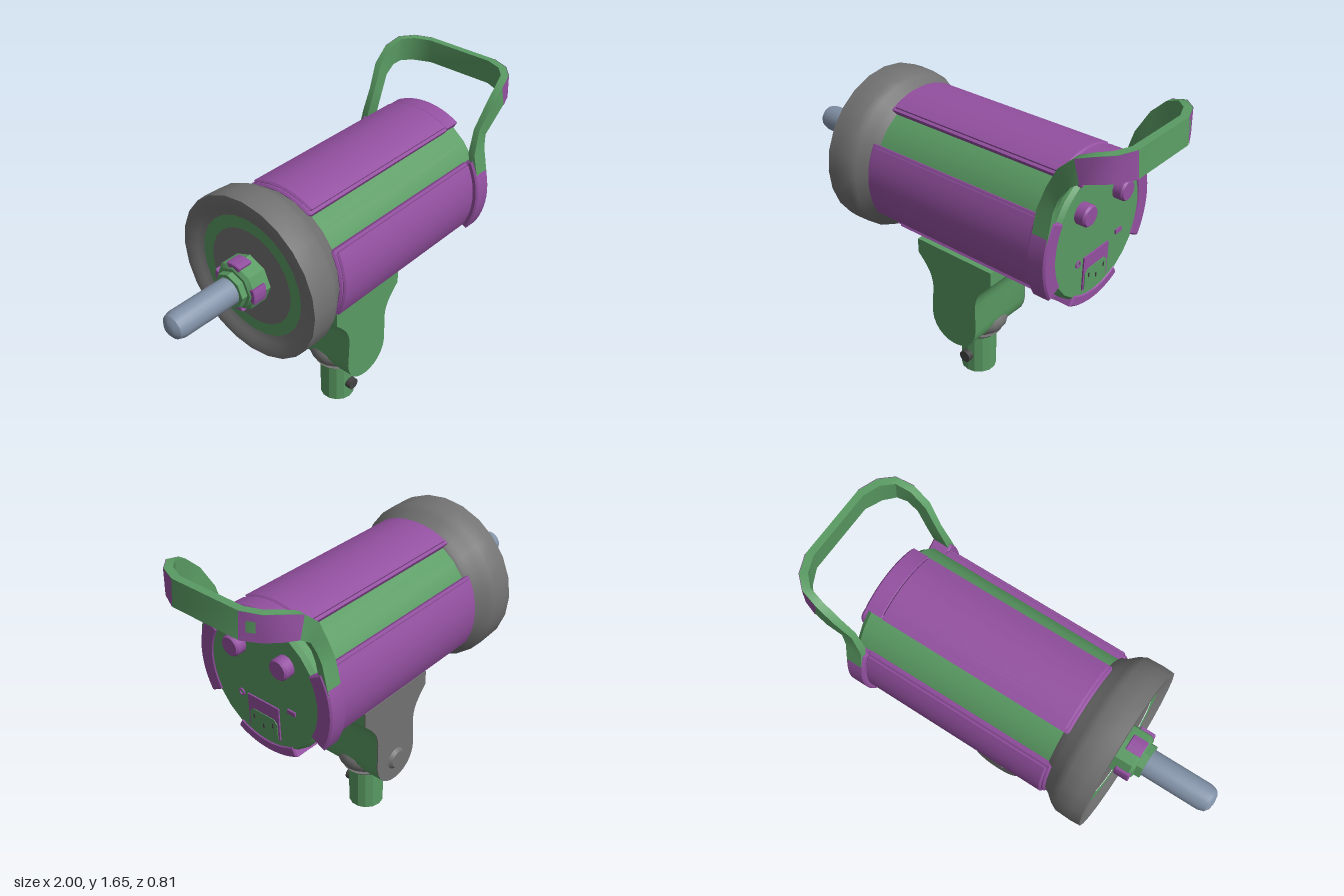
import * as THREE from 'three';
import { toCreasedNormals } from 'three/addons/utils/BufferGeometryUtils.js';

const mat = (color) => new THREE.MeshStandardMaterial({ color });
const AXIS = 1.1; // height of the lamp's long axis

export function createModel() {
  const model = new THREE.Group();
  const green = mat(0x5a9b63), purple = mat(0x9350a0), grey = mat(0x727272);
  const steel = mat(0x8292a8), dark = mat(0x444444);

  const add = (name, geo, material, x = 0, y = 0, z = 0, parent = model) => {
    const m = new THREE.Mesh(geo, material);
    m.name = name;
    m.position.set(x, y, z);
    parent.add(m);
    return m;
  };
  // Profile of [radius, x] turned around the lamp axis
  const turned = (pts, sides) => toCreasedNormals(
    new THREE.LatheGeometry(pts.map(([r, x]) => new THREE.Vector2(r, x)), sides).rotateZ(-Math.PI / 2), 0.6);
  // Curved plate: ring sector centred on angle a, running from x0 to x1
  const curvedPlate = (r0, r1, a, half, x0, x1, bevel = 0.008) => {
    const s = new THREE.Shape();
    s.absarc(0, 0, r1 - bevel, a - half, a + half, false);
    s.absarc(0, 0, r0, a + half, a - half, true);
    const g = new THREE.ExtrudeGeometry(s, {
      depth: x1 - x0 - 2 * bevel, curveSegments: 8, bevelSize: bevel, bevelThickness: bevel, bevelSegments: 1 });
    return toCreasedNormals(g.translate(0, 0, x0 + bevel).rotateY(Math.PI / 2), 0.6);
  };
  // Flat outline extruded along x, outline given as [z, y]
  const panel = (pts, depth) => new THREE.ExtrudeGeometry(
    new THREE.Shape(pts.map(([z, y]) => new THREE.Vector2(-z, y))), { depth, bevelEnabled: false }).rotateY(Math.PI / 2);

  // Housing with its rear end cap
  add('housing', turned([[0, -0.45], [0.33, -0.45], [0.335, 0.7], [0.32, 0.72], [0, 0.72]], 24), green, 0, AXIS);

  // Front bell with a shallow recessed face
  add('frontBell', turned([[0.30, -0.525], [0.335, -0.535], [0.36, -0.55], [0.403, -0.55], [0.406, -0.5], [0.403, -0.42],
    [0.385, -0.385], [0.355, -0.35], [0.342, -0.32], [0.33, -0.31]], 24), grey, 0, AXIS);
  add('faceRing', turned([[0.24, -0.525], [0.305, -0.525], [0.305, -0.45]], 24), green, 0, AXIS);
  add('faceDisc', turned([[0, -0.522], [0.245, -0.522], [0.245, -0.45]], 24), grey, 0, AXIS);

  // Tube socket and flash tube
  add('tubeSocket', turned([[0, -0.63], [0.1, -0.63], [0.118, -0.615], [0.118, -0.52]], 8), green, 0, AXIS);
  add('socketCollar', turned([[0, -0.66], [0.085, -0.66], [0.085, -0.62]], 8), green, 0, AXIS);
  for (let i = 0; i < 4; i++) {
    const a = i * Math.PI / 2;
    add('socketTab', curvedPlate(0.1, 0.123, a, 0.3, -0.625, -0.55, 0.004), purple, 0, AXIS);
  }
  add('flashTube', turned([[0, -1], [0.035, -0.995], [0.056, -0.98], [0.065, -0.95], [0.065, -0.64]], 20), steel, 0, AXIS);

  // Four long grip pads with end clips; the side clips are thicker
  for (let i = 0; i < 4; i++) {
    const a = i * Math.PI / 2, side = i % 2 === 0;
    add('gripPadBorder', curvedPlate(0.32, 0.357, a, 0.51, -0.335, 0.64), purple, 0, AXIS);
    add('gripPad', curvedPlate(0.32, 0.367, a, 0.47, -0.32, 0.635), purple, 0, AXIS);
    add('endClip', curvedPlate(0.315, side ? 0.39 : 0.362, a, 0.5, 0.63, 0.725), purple, 0, AXIS);
  }

  // Carrying handle: a strap swept through stations [topX, topY, bottomX, bottomY, z, inX, inZ]
  const half = [
    [0.64, 1.2, 0.72, 1.2, 0.375, 0, -0.035],
    [0.64, 1.33, 0.72, 1.34, 0.345, 0, -0.035],
    [0.675, 1.44, 0.735, 1.4, 0.335, 0, -0.03],
    [0.735, 1.55, 0.785, 1.48, 0.352, 0, -0.035],
    [0.81, 1.62, 0.84, 1.52, 0.35, -0.005, -0.035],
    [0.89, 1.648, 0.9, 1.532, 0.33, -0.02, -0.03],
    [0.95, 1.652, 0.955, 1.532, 0.275, -0.03, -0.022],
    [0.985, 1.652, 0.998, 1.53, 0.185, -0.035, -0.01]];
  const stations = [...half, ...half.map(([a, b, c, d, z, ix, iz]) => [a, b, c, d, -z, ix, -iz]).reverse()];
  const pos = [], idx = [];
  stations.forEach(([tx, ty, bx, by, z, ix, iz], i) => {
    pos.push(tx, ty, z, bx, by, z, bx + ix, by, z + iz, tx + ix, ty, z + iz);
    if (!i) return;
    for (let k = 0; k < 4; k++) {
      const p = (i - 1) * 4 + k, q = (i - 1) * 4 + (k + 1) % 4;
      idx.push(p, q, p + 4, q, q + 4, p + 4);
    }
  });
  const n = (stations.length - 1) * 4;
  idx.push(0, 3, 2, 0, 2, 1, n, n + 1, n + 2, n, n + 2, n + 3);
  const strap = new THREE.BufferGeometry();
  strap.setAttribute('position', new THREE.Float32BufferAttribute(pos, 3));
  strap.setIndex(idx);
  const strapMat = green.clone();
  strapMat.side = THREE.DoubleSide;
  add('handle', toCreasedNormals(strap, 0.5), strapMat);
  // Purple sleeves around the handle's two upper bends
  for (const s of [1, -1]) {
    const p = [], t = [];
    half.slice(4).forEach(([tx, ty, bx, by, z, ix, iz], i) => {
      const ox = -ix * 0.06, oz = -iz * 0.06;
      p.push(tx + ox, ty, s * (z + oz), bx + ox, by, s * (z + oz));
      if (i) t.push(2 * i - 2, 2 * i - 1, 2 * i, 2 * i - 1, 2 * i + 1, 2 * i);
    });
    const g = new THREE.BufferGeometry();
    g.setAttribute('position', new THREE.Float32BufferAttribute(p, 3));
    g.setIndex(t);
    const m = purple.clone();
    m.side = THREE.DoubleSide;
    add('handleBend', toCreasedNormals(g, 0.6), m);
  }

  // Rear controls
  for (const z of [0.14, -0.14]) {
    add('controlKnob', turned([[0.05, 0.71], [0.05, 0.762], [0.043, 0.772], [0, 0.772]], 20), purple, 0, 1.25, z);
  }
  add('syncJack', new THREE.TorusGeometry(0.014, 0.005, 6, 16).rotateY(Math.PI / 2), purple, 0.722, 0.99, 0.14);
  add('switch', new THREE.BoxGeometry(0.012, 0.02, 0.046), purple, 0.722, 1.02, -0.162);
  add('powerPanel', new THREE.BoxGeometry(0.014, 0.17, 0.185), purple, 0.72, 0.917, 0.007);
  add('powerInlet', panel([[0.09, 0.835], [-0.075, 0.835], [-0.075, 0.915], [-0.055, 0.935], [0.07, 0.935], [0.09, 0.915]], 0.004),
    green, 0.726);
  for (const [z, y] of [[0.063, 0.9], [0.007, 0.873], [-0.05, 0.9]]) {
    add('inletPin', new THREE.BoxGeometry(0.008, 0.022, 0.007), dark, 0.729, y, z);
  }

  // Mounting bracket
  const b = new THREE.Shape();
  b.moveTo(-0.175, 0.77);
  b.lineTo(-0.175, 0.695);
  b.bezierCurveTo(-0.11, 0.63, -0.085, 0.6, -0.08, 0.53);
  b.lineTo(-0.088, 0.38);
  b.bezierCurveTo(-0.085, 0.29, -0.02, 0.24, 0.053, 0.24);
  b.bezierCurveTo(0.125, 0.24, 0.19, 0.29, 0.195, 0.38);
  b.lineTo(0.19, 0.53);
  b.bezierCurveTo(0.195, 0.6, 0.22, 0.63, 0.285, 0.695);
  b.lineTo(0.285, 0.77);
  const bracket = new THREE.ExtrudeGeometry(b, { depth: 0.385, bevelEnabled: false, curveSegments: 6 });
  add('bracket', toCreasedNormals(bracket.translate(0, 0, -0.19), 0.6), green);
  const plate = new THREE.ExtrudeGeometry(b, { depth: 0.006, bevelEnabled: false, curveSegments: 6 });
  add('bracketSidePlate', toCreasedNormals(plate, 0.6), grey, 0, 0, -0.195);

  // Swivel bulge, stem and fasteners
  add('swivelBulge', new THREE.SphereGeometry(1, 20, 12).scale(0.153, 0.1, 0.14), grey, 0.053, 0.325, 0);
  add('stemFillet', new THREE.CylinderGeometry(0.12, 0.09, 0.03, 20), grey, 0.053, 0.235, 0);
  add('stem', toCreasedNormals(new THREE.CylinderGeometry(0.09, 0.09, 0.25, 14), 0.3), green, 0.053, 0.125, 0);
  add('stemScrew', new THREE.CylinderGeometry(0.032, 0.032, 0.06, 16).rotateX(Math.PI / 2), dark, 0.053, 0.1, 0.085);
  add('pivotBolt', new THREE.CylinderGeometry(0.06, 0.045, 0.018, 20).rotateX(Math.PI / 2), grey, 0.053, 0.365, -0.203);
  return model;
}
